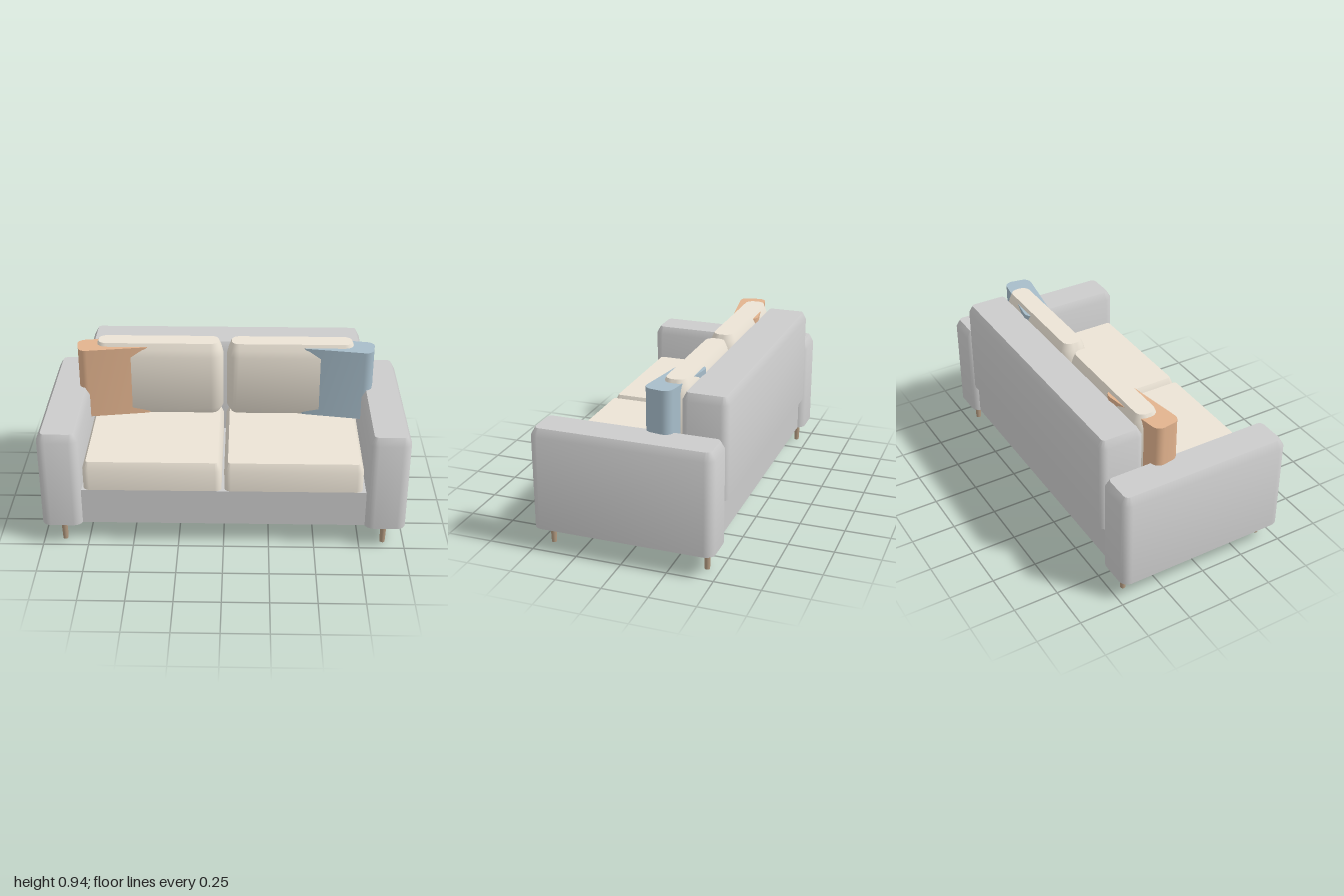
import * as THREE from 'three';
import { toCreasedNormals } from 'three/addons/utils/BufferGeometryUtils.js';

const fabric = new THREE.MeshStandardMaterial({ color: 0xcccccc });
const cream = new THREE.MeshStandardMaterial({ color: 0xebe3d5 });
const orange = new THREE.MeshStandardMaterial({ color: 0xe2b38e });
const blue = new THREE.MeshStandardMaterial({ color: 0xa7bdca });
const wood = new THREE.MeshStandardMaterial({ color: 0xb39a80 });

// Upright block with a rounded footprint; rings = [[height, inset], ...] from bottom to top
function paddedBlock(width, depth, radius, rings) {
  const steps = 6;
  const count = 4 * (steps + 1);
  const pos = [];
  const index = [];
  for (const [y, inset] of rings) {
    for (let c = 0; c < 4; c++) {
      const cx = (c === 0 || c === 3 ? 1 : -1) * (width / 2 - radius);
      const cz = (c < 2 ? 1 : -1) * (depth / 2 - radius);
      for (let s = 0; s <= steps; s++) {
        const a = (c + s / steps) * Math.PI / 2;
        pos.push(cx + (radius - inset) * Math.cos(a), y, cz + (radius - inset) * Math.sin(a));
      }
    }
  }
  for (let r = 0; r < rings.length - 1; r++) {
    for (let i = 0; i < count; i++) {
      const a = r * count + i;
      const b = r * count + (i + 1) % count;
      index.push(a, a + count, b, b, a + count, b + count);
    }
  }
  // Flat caps
  const top = (rings.length - 1) * count;
  for (let i = 1; i < count - 1; i++) {
    index.push(0, i, i + 1, top, top + i + 1, top + i);
  }
  const g = new THREE.BufferGeometry();
  g.setAttribute('position', new THREE.Float32BufferAttribute(pos, 3));
  g.setIndex(index);
  return toCreasedNormals(g, 0.6);
}

export function createModel() {
  const group = new THREE.Group();
  const add = (name, geometry, material, x = 0, y = 0, z = 0) => {
    const mesh = new THREE.Mesh(geometry, material);
    mesh.name = name;
    mesh.position.set(x, y, z);
    group.add(mesh);
    return mesh;
  };

  // Frame: base and backrest
  add('base', new THREE.BoxGeometry(1.6, 0.21, 0.92), fabric, 0, 0.23, 0);
  add('backrest', paddedBlock(1.555, 0.25, 0.04, [[0.335, 0], [0.85, 0], [0.892, 0.022]]),
    fabric, 0, 0, -0.37);

  const armShape = paddedBlock(0.225, 0.99, 0.05, [[0.125, 0], [0.642, 0], [0.685, 0.024]]);
  const seatShape = paddedBlock(0.755, 0.72, 0.035, [[0.335, 0], [0.455, 0], [0.5, 0.02]]);
  const backShape = paddedBlock(0.735, 0.16, 0.07,
    [[0.488, 0.03], [0.54, 0], [0.86, 0], [0.9, 0.01], [0.937, 0.026]]);
  const pillowShape = paddedBlock(0.42, 0.15, 0.045, [[0.5, 0], [0.918, 0]]);
  const legShape = new THREE.CylinderGeometry(0.019, 0.014, 0.13, 20);

  for (const side of [1, -1]) {
    const label = side > 0 ? 'left' : 'right';
    add(label + 'Arm', armShape, fabric, side * 0.8875);
    add(label + 'SeatCushion', seatShape, cream, side * 0.385 - 0.004, 0, 0.1);
    add(label + 'BackCushion', backShape, cream, side * 0.378 - 0.003, 0, -0.19);

    // Throw pillow, turned slightly and tucked into the back cushion
    const pillow = add(label + 'ThrowPillow', pillowShape, side > 0 ? blue : orange,
      side * 0.63, 0, -0.171);
    pillow.rotation.y = -side * 0.16;

    // Tapered legs
    add(label + 'FrontLeg', legShape, wood, side * 0.885, 0.065, 0.43);
    add(label + 'BackLeg', legShape, wood, side * 0.885, 0.065, -0.43);
  }
  return group;
}
